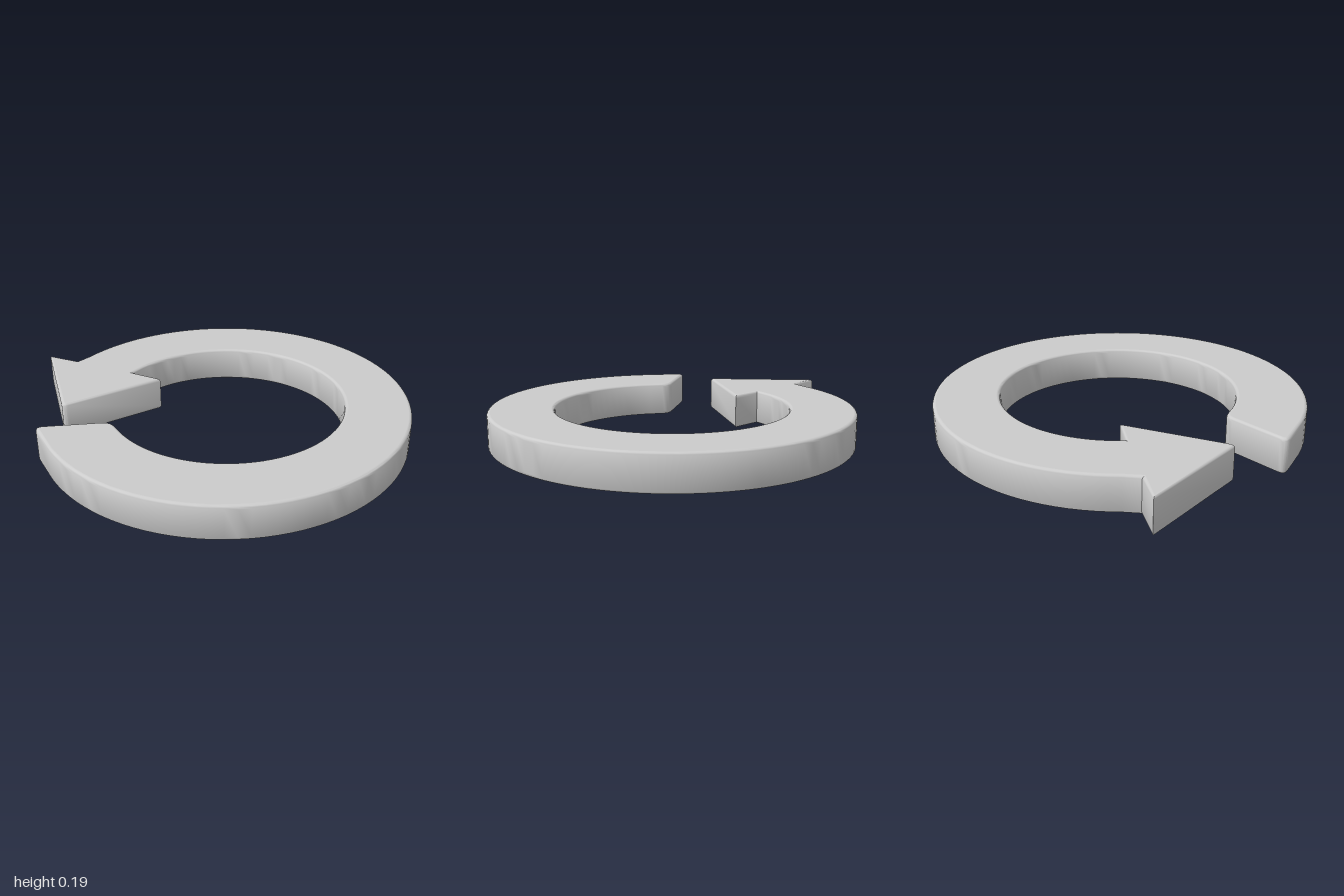
import * as THREE from 'three';
import { toCreasedNormals } from 'three/addons/utils/BufferGeometryUtils.js';

const HEIGHT = 0.19, BEVEL = 0.018;
const v = (x, y) => new THREE.Vector2(x, y);

// Points along an elliptical arc, angles in degrees
function arc(cx, rx, ry, from, to, n) {
  return Array.from({ length: n + 1 }, (_, i) => {
    const a = THREE.MathUtils.degToRad(from + (to - from) * i / n);
    return v(cx + rx * Math.cos(a), ry * Math.sin(a));
  });
}

// Softened corner p between its neighbours a and b
function corner(a, p, b, d = 0.05) {
  const toward = q => p.clone().add(q.clone().sub(p).setLength(d));
  return new THREE.QuadraticBezierCurve(toward(a), p, toward(b)).getPoints(5);
}

// Plan outline of the ring with its arrowhead (plan y points to the back)
function outline() {
  const outer = arc(0, 0.998, 0.984, 183, 478, 84);
  const inner = arc(0.01, 0.635, 0.63, 477, 185, 72);
  const tailOut = v(-1, 0.2), tailIn = v(-0.63, 0.065);
  const notchOut = v(-0.55, 0.838), wingOut = v(-0.672, 0.978);
  const tip = v(-0.803, 0.342), wingIn = v(-0.21, 0.395), notchIn = v(-0.318, 0.543);
  return [
    ...outer,
    notchOut, wingOut,
    ...corner(wingOut, tip, wingIn, 0.035),
    wingIn, notchIn,
    ...inner,
    ...corner(inner[inner.length - 1], tailIn, tailOut),
    ...corner(tailIn, tailOut, outer[0]),
  ];
}

// Keep the top and bottom faces evenly flat next to the rounded rim
function flattenCaps(geometry) {
  const pos = geometry.attributes.position, normal = geometry.attributes.normal;
  const tri = new THREE.Triangle(), n = new THREE.Vector3();
  for (let i = 0; i < pos.count; i += 3) {
    tri.setFromAttributeAndIndices(pos, i, i + 1, i + 2);
    tri.getNormal(n);
    if (Math.abs(n.y) < 0.999) continue;
    for (let k = 0; k < 3; k++) normal.setXYZ(i + k, 0, Math.sign(n.y), 0);
  }
  return geometry;
}

export function createModel() {
  const group = new THREE.Group();
  group.name = 'circularArrow';

  // Thick ring-shaped arrow with rounded rims
  const extruded = new THREE.ExtrudeGeometry(new THREE.Shape(outline()), {
    depth: HEIGHT - 2 * BEVEL,
    bevelSize: BEVEL, bevelThickness: BEVEL, bevelOffset: -BEVEL, bevelSegments: 4,
  });
  extruded.rotateX(-Math.PI / 2).translate(0, BEVEL, 0);
  const arrow = new THREE.Mesh(
    flattenCaps(toCreasedNormals(extruded, 0.6)),
    new THREE.MeshStandardMaterial({ color: 0xcccccc })
  );
  arrow.name = 'arrowRing';
  group.add(arrow);
  return group;
}
